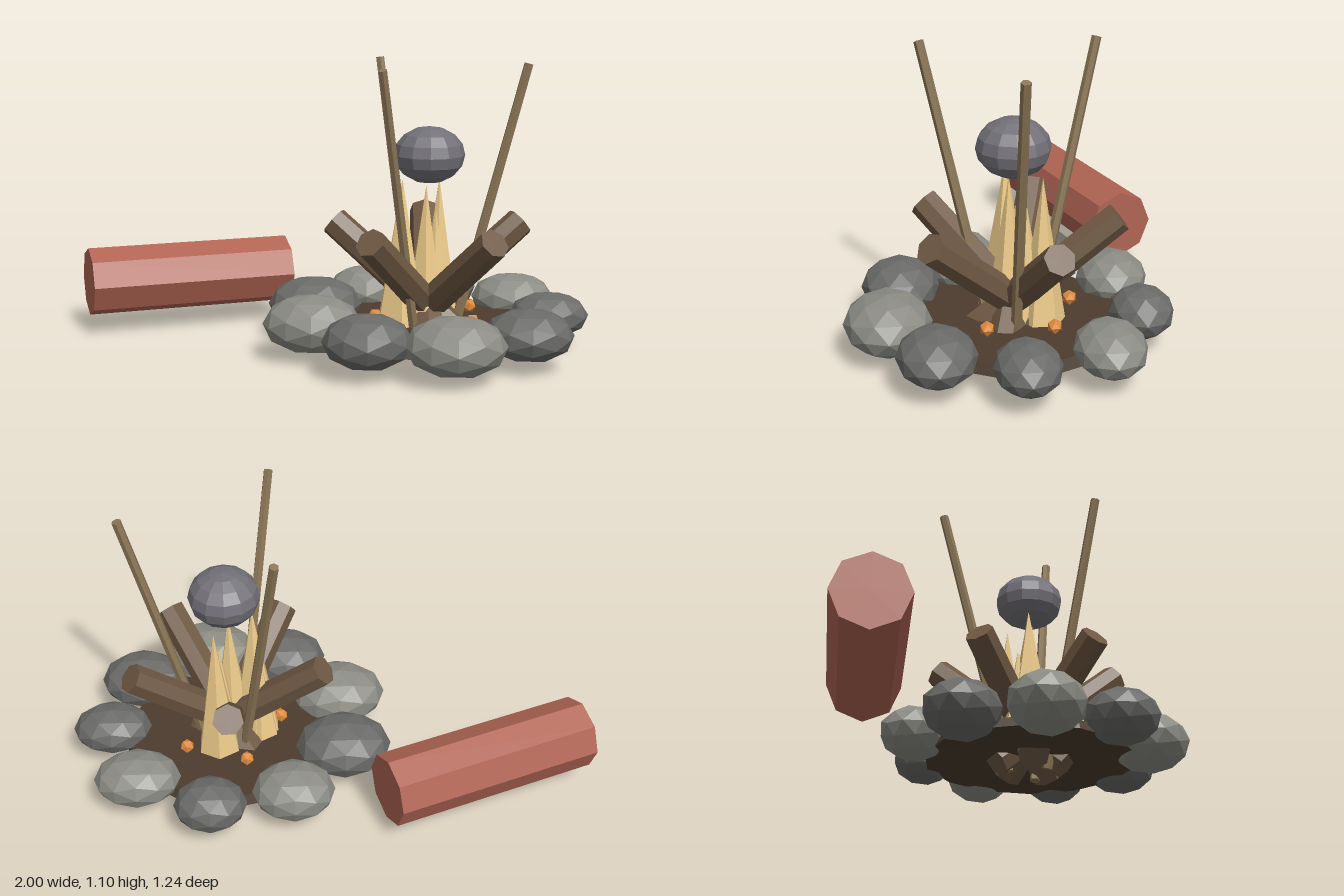
import * as THREE from 'three';

const CX = 0.385; // centre of the fire on x
const UP = new THREE.Vector3(0, 1, 0);
const mat = (color) => new THREE.MeshStandardMaterial({ color, flatShading: true });

function add(parent, name, geometry, material, x = 0, y = 0, z = 0) {
  const mesh = new THREE.Mesh(geometry, material);
  mesh.name = name;
  mesh.position.set(x, y, z);
  parent.add(mesh);
  return mesh;
}

// A tapered round bar running from point a to point b
function bar(parent, name, a, b, rA, rB, sides, material) {
  const dir = b.clone().sub(a);
  const mesh = add(parent, name, new THREE.CylinderGeometry(rB, rA, dir.length(), sides), material);
  mesh.position.copy(a).add(b).multiplyScalar(0.5);
  mesh.quaternion.setFromUnitVectors(UP, dir.normalize());
  return mesh;
}

// Point around the fire's centre
const polar = (deg, r, y) => {
  const a = THREE.MathUtils.degToRad(deg);
  return new THREE.Vector3(r * Math.cos(a), y, r * Math.sin(a));
};

export function createModel() {
  const model = new THREE.Group();
  model.name = 'campfire';
  const fire = new THREE.Group();
  fire.name = 'firePit';
  fire.position.x = CX;
  model.add(fire);

  const lightStone = mat(0x8b8b84), darkStone = mat(0x6a6b68);
  const wood = mat(0x6e5843), stick = mat(0x8c7757), flame = mat(0xeccb8a);
  const ember = mat(0xe08a3c);

  // Ash bed
  add(fire, 'ashBed', new THREE.CylinderGeometry(0.4, 0.415, 0.04, 14), mat(0x4c3c2e), 0, 0.1, 0);

  // Ring of stones: half sizes in x, y, z
  const stones = [
    [0.152, 0.088, 0.12], [0.165, 0.098, 0.142], [0.185, 0.11, 0.16],
    [0.165, 0.103, 0.146], [0.187, 0.112, 0.15], [0.184, 0.108, 0.152],
    [0.156, 0.1, 0.135], [0.137, 0.094, 0.12], [0.164, 0.094, 0.13],
  ];
  stones.forEach((size, i) => {
    const p = polar(i * 40, 0.463, 0.147);
    const light = i > 0 && i % 2 === 0;
    add(fire, 'stone', new THREE.IcosahedronGeometry(1, 1), light ? lightStone : darkStone, p.x, p.y, p.z)
      .scale.set(...size);
  });

  // Crossed logs leaning outward
  for (let i = 0; i < 5; i++) {
    const deg = -90 + i * 72;
    bar(fire, 'fireLog', polar(deg, -0.145, 0.06), polar(deg, 0.38, 0.487), 0.063, 0.058, 7, wood);
  }

  // Tripod sticks
  for (let i = 0; i < 3; i++) {
    bar(fire, 'tripodStick', polar(i * 120, 0.088, 0.03), polar(i * 120, 0.365, 1.105), 0.02, 0.018, 6, stick);
  }

  // Hanging pot
  add(fire, 'pot', new THREE.SphereGeometry(0.135, 12, 8), mat(0x737178), 0, 0.763, 0).scale.y = 0.8;

  // Flames: x, z, tip height, base radius
  const flames = [
    [-0.1, 0.02, 0.675, 0.1], [-0.01, 0.015, 0.65, 0.085],
    [0.045, -0.1, 0.66, 0.085], [0.03, -0.045, 0.55, 0.075], [-0.12, -0.02, 0.5, 0.07],
  ];
  for (const [x, z, tip, r] of flames) {
    const h = tip - 0.12;
    add(fire, 'flame', new THREE.ConeGeometry(r, h, 6), flame, x, 0.12 + h / 2, z);
  }

  // Embers
  const embers = [[-0.06, -0.215], [-0.2, 0.03], [-0.18, 0.09], [0.165, 0.11], [0.17, -0.13]];
  for (const [x, z] of embers) {
    add(fire, 'ember', new THREE.IcosahedronGeometry(0.028, 0), ember, x, 0.147, z);
  }

  // Log seat beside the fire, lying with one edge uppermost
  const seat = new THREE.Group();
  seat.name = 'logSeat';
  seat.position.set(-0.571, 0.215, -0.355);
  seat.rotation.y = Math.atan2(0.28, 0.768);
  const trunk = add(seat, 'seatTrunk', new THREE.CylinderGeometry(0.136, 0.136, 0.818, 8), mat(0xb06453));
  trunk.rotation.z = Math.PI / 2;
  model.add(seat);

  return model;
}
